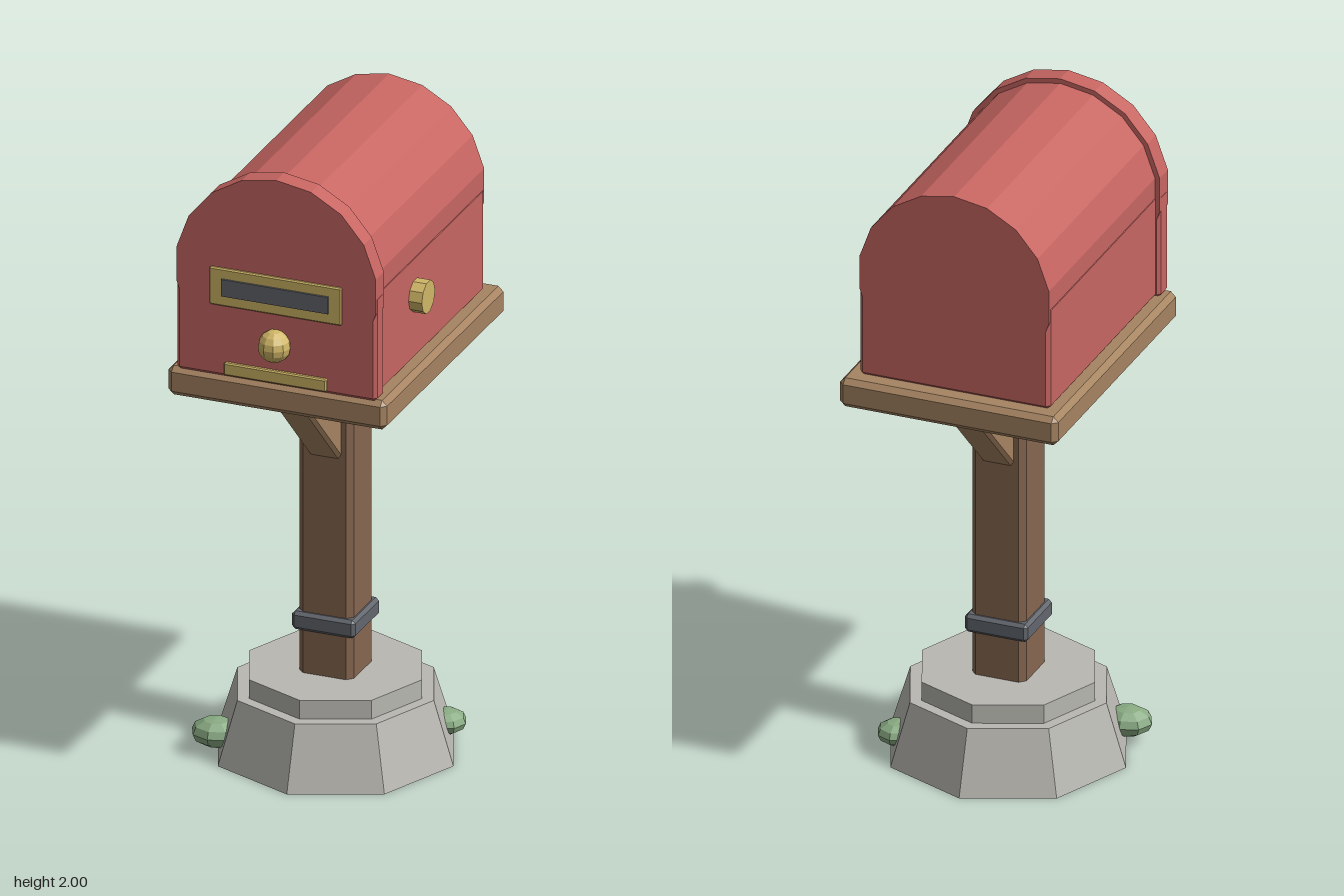
import * as THREE from 'three';
import { ConvexGeometry } from 'three/addons/geometries/ConvexGeometry.js';

const mat = (name, color) => {
  const m = new THREE.MeshStandardMaterial({ color, flatShading: true });
  m.name = name;
  return m;
};

// Box with every edge cut by a flat chamfer
function chamferBox(w, h, d, c) {
  const pts = [];
  for (const x of [-1, 1]) for (const y of [-1, 1]) for (const z of [-1, 1]) {
    for (let full = 0; full < 3; full++) {
      const inset = [c, c, c];
      inset[full] = 0;
      pts.push(new THREE.Vector3(
        x * (w / 2 - inset[0]), y * (h / 2 - inset[1]), z * (d / 2 - inset[2])));
    }
  }
  return new ConvexGeometry(pts);
}

export function createModel() {
  const red = mat('red paint', 0xc76662);
  const lightWood = mat('light wood', 0xa68461);
  const darkWood = mat('dark wood', 0x866650);
  const stone = mat('stone', 0xb9b8b2);
  const metal = mat('dark metal', 0x62666d);
  const brass = mat('brass', 0xd0b667);
  const moss = mat('moss', 0x89ab83);

  const group = new THREE.Group();
  group.name = 'mailbox';
  const CX = 0.003, CZ = -0.027; // axis of the post

  const add = (name, geometry, material, x, y, z) => {
    const mesh = new THREE.Mesh(geometry, material);
    mesh.name = name;
    mesh.position.set(x, y, z);
    group.add(mesh);
    return mesh;
  };

  // Octagonal stone footing in two steps
  add('footing', new THREE.CylinderGeometry(0.311, 0.373, 0.2, 8), stone, CX, 0.1, CZ);
  add('footingCap', new THREE.CylinderGeometry(0.274, 0.274, 0.08, 8), stone, CX, 0.22, CZ);

  // Moss clumps on the footing
  const clumps = [
    [-0.305, 0.065, 0.143, 0.076, 0.044, 0.068],
    [0.287, 0.065, -0.187, 0.062, 0.037, 0.064],
  ];
  for (const [x, y, z, sx, sy, sz] of clumps) {
    add('mossClump', new THREE.SphereGeometry(1, 8, 6).scale(sx, sy, sz), moss, x, y, z);
  }

  // Post, metal band and diagonal braces
  add('post', chamferBox(0.172, 1.08, 0.172, 0.018), darkWood, CX, 0.76, CZ);
  add('postBand', chamferBox(0.2, 0.058, 0.2, 0.01), metal, CX, 0.427, CZ);
  for (const side of [1, -1]) {
    const brace = add('brace', chamferBox(0.106, 0.092, 0.41, 0.01), lightWood,
      CX, 1.11, CZ + side * 0.167);
    brace.rotation.x = -side * Math.PI / 4;
  }

  // Platform
  add('platform', chamferBox(0.692, 0.093, 0.92, 0.016), lightWood, CX, 1.3, -0.03);

  // Box and front door: chamfered lower half with a round top
  const shell = (name, halfWidth, radius, back, front, chamfer) => {
    const depth = front - back, mid = (front + back) / 2;
    add(name + 'Lower', chamferBox(halfWidth * 2, 0.335, depth, chamfer), red, CX, 1.51, mid);
    add(name + 'Top', new THREE.CylinderGeometry(radius, radius, depth, 18).rotateX(-Math.PI / 2),
      red, CX, 1.68, mid);
  };
  shell('body', 0.302, 0.305, -0.437, 0.38, 0.012);
  shell('door', 0.316, 0.32, 0.365, 0.427, 0.01);

  // Door fittings
  add('slotFrame', chamferBox(0.418, 0.12, 0.03, 0.004), brass, CX, 1.632, 0.421);
  add('slot', new THREE.BoxGeometry(0.338, 0.054, 0.03), metal, CX, 1.633, 0.427);
  add('doorPull', chamferBox(0.324, 0.04, 0.03, 0.004), brass, CX, 1.373, 0.424);
  add('knob', new THREE.SphereGeometry(0.05, 10, 8), brass, CX, 1.475, 0.44);

  // Round flag pivot on one side
  add('flagPivot', new THREE.CylinderGeometry(0.051, 0.051, 0.06, 10).rotateZ(-Math.PI / 2),
    brass, 0.317, 1.548, 0.094);

  return group;
}
